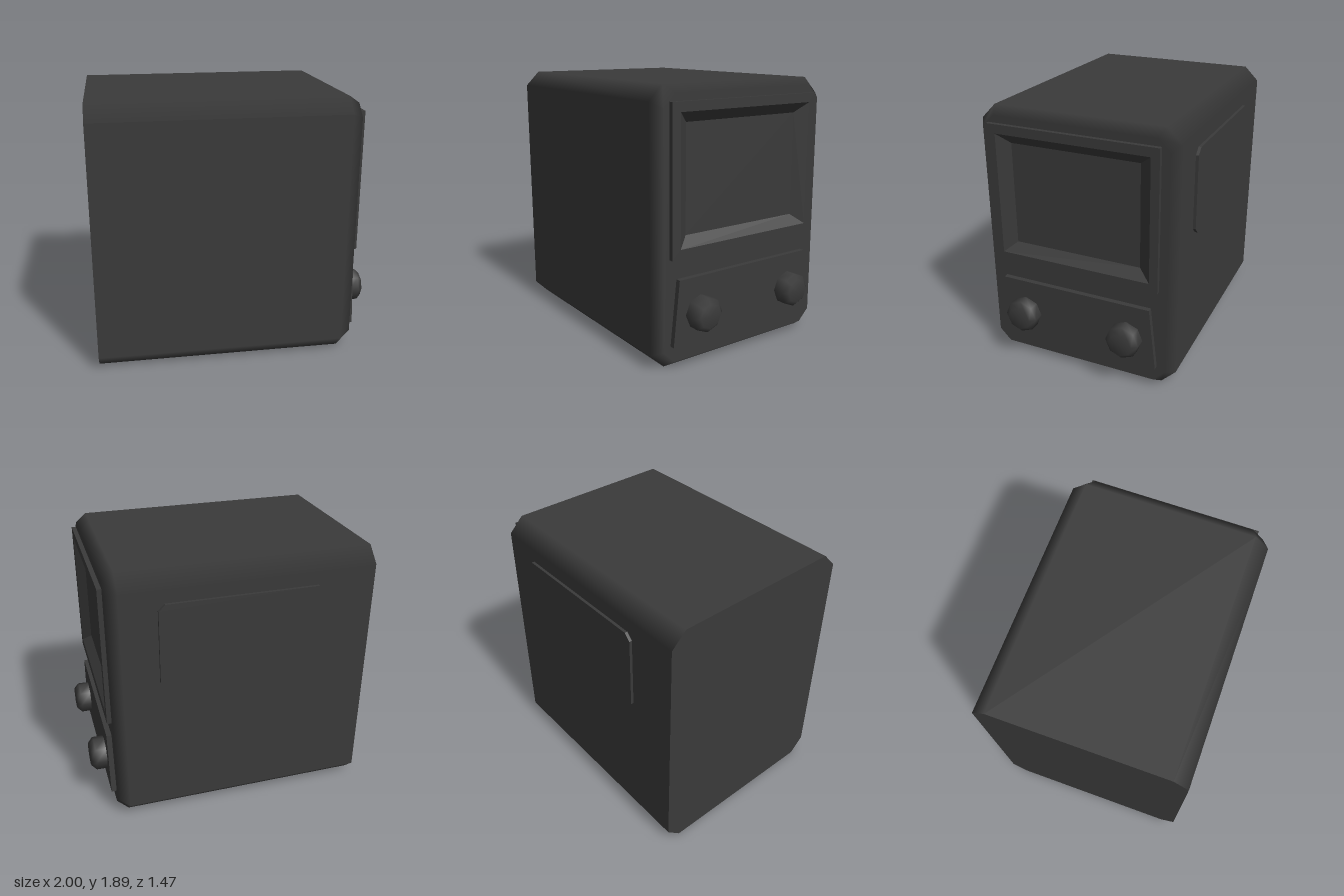
import * as THREE from 'three';

const mat = new THREE.MeshStandardMaterial({ color: 0x3a3a3a });
const CZ = 0.01; // z of the body's middle plane

// Outline of a box with cut corners, counter-clockwise
function cutRect(u0, u1, y0, y1, c) {
  return [[u0 + c, y0], [u1 - c, y0], [u1, y0 + c], [u1, y1 - c],
    [u1 - c, y1], [u0 + c, y1], [u0, y1 - c], [u0, y0 + c]];
}
const rect = (u0, u1, y0, y1) => [[u0, y0], [u1, y0], [u1, y1], [u0, y1]];
const toShape = (pts) => new THREE.Shape(pts.map(([u, y]) => new THREE.Vector2(u, y)));

// Skin rings of { x, pts: [-z, y], normals? } along x; flat when no normals are given
function loft(rings) {
  const pos = [], nor = [];
  for (let r = 0; r + 1 < rings.length; r++) {
    const n = rings[r].pts.length;
    for (let j = 0; j < n; j++) {
      const k = (j + 1) % n;
      for (const [ring, i] of [[0, j], [0, k], [1, k], [0, j], [1, k], [1, j]]) {
        const { x, pts, normals } = rings[r + ring];
        pos.push(x, pts[i][1], -pts[i][0]);
        if (normals) nor.push(...normals[i]);
      }
    }
  }
  const g = new THREE.BufferGeometry();
  g.setAttribute('position', new THREE.Float32BufferAttribute(pos, 3));
  if (nor.length) g.setAttribute('normal', new THREE.Float32BufferAttribute(nor, 3));
  else g.computeVertexNormals();
  return g;
}

// Flat cap facing +x
function cap(shape, x) {
  return new THREE.ShapeGeometry(shape).rotateY(Math.PI / 2).translate(x, 0, 0);
}

export function createModel() {
  const model = new THREE.Group();
  const add = (name, geometry, parent = model) => {
    const mesh = new THREE.Mesh(geometry, mat);
    mesh.name = name;
    parent.add(mesh);
    return mesh;
  };

  // Casing: octagonal shell with softly shaded chamfers
  const casing = new THREE.Group();
  casing.name = 'casing';
  model.add(casing);
  const outer = cutRect(-0.735, 0.717, 0, 1.89, 0.105);
  const inner = cutRect(-0.68, 0.662, 0.055, 1.835, 0.085);
  const down = [0, -1, 0], back = [0, 0, -1], up = [0, 1, 0], front = [0, 0, 1];
  const sides = [down, down, back, back, up, up, front, front];
  add('shell', loft([
    { x: -1, pts: outer, normals: sides },
    { x: 0.77, pts: outer, normals: sides },
    { x: 0.85, pts: inner, normals: outer.map(() => [1, 0, 0]) },
  ]), casing);
  add('rearFace', new THREE.ShapeGeometry(toShape(outer.map(([u, y]) => [-u, y]).reverse()))
    .rotateY(-Math.PI / 2).translate(-1, 0, 0), casing);

  // Face around the screen opening
  const bezel = rect(-0.635, 0.61, 0.775, 1.787);
  const face = toShape(inner);
  face.holes.push(toShape(bezel));
  add('screenSideFace', cap(face, 0.85), casing);

  // Raised bezel sloping back to the sunken screen
  const glass = rect(-0.485, 0.46, 0.91, 1.65);
  add('screenBezel', loft([
    { x: 0.85, pts: bezel },
    { x: 0.882, pts: bezel },
    { x: 0.882, pts: rect(-0.57, 0.55, 0.84, 1.722) },
    { x: 0.82, pts: glass },
  ]));
  add('screen', cap(toShape(glass), 0.82));

  // Tapered control panel
  const panel = toShape([[-0.628, 0.175], [0.605, 0.175], [0.555, 0.635], [-0.58, 0.635]]);
  add('controlPanel', new THREE.ExtrudeGeometry(panel, { depth: 0.045, bevelEnabled: false })
    .rotateY(Math.PI / 2).translate(0.842, 0, 0));

  // Two eight-sided knobs
  const profile = [[0.122, 0], [0.122, 0.08], [0.085, 0.115], [0, 0.115]]
    .map(([r, h]) => new THREE.Vector2(r, h));
  for (const s of [1, -1]) {
    add(s > 0 ? 'frontKnob' : 'rearKnob', new THREE.LatheGeometry(profile, 8)
      .rotateZ(-Math.PI / 2).translate(0.885, 0.383, CZ + s * 0.398));
  }

  // Thin cover plate on the back side
  const plate = toShape(cutRect(-0.52, 0.63, 1.07, 1.685, 0.045));
  add('coverPlate', new THREE.ExtrudeGeometry(plate, { depth: 0.025, bevelEnabled: false })
    .rotateY(Math.PI).translate(0, 0, -0.712));

  return model;
}
